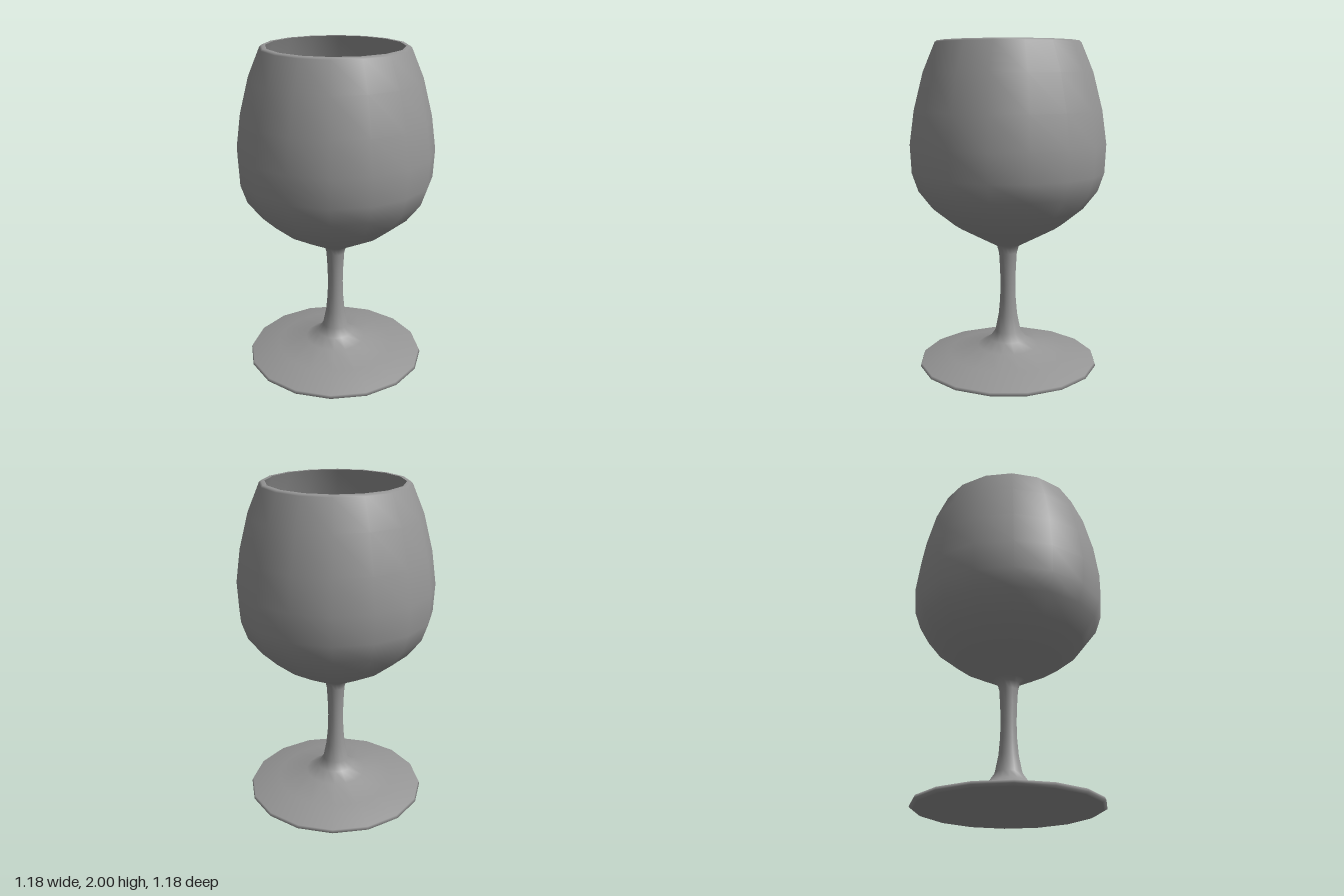
import * as THREE from 'three';

const SIDES = 16;
const material = new THREE.MeshStandardMaterial({ color: 0x969696 });

// Revolve a profile of [radius, height] pairs; bottom to top faces outward.
function turned(name, profile) {
  const points = profile.map(([r, y]) => new THREE.Vector2(r, y));
  const mesh = new THREE.Mesh(new THREE.LatheGeometry(points, SIDES), material);
  mesh.name = name;
  return mesh;
}

export function createModel() {
  const glass = new THREE.Group();
  glass.name = 'stemmedGlass';

  // Underside of the foot, slightly hollowed in the middle
  glass.add(turned('footUnderside', [[0, 0.02], [0.12, 0.004], [0.2, 0], [0.535, 0.008]]));

  // Rounded foot edge and sloping foot, flowing into the narrow stem
  glass.add(turned('footAndStem', [
    [0.535, 0.008], [0.555, 0.018], [0.548, 0.036], [0.37, 0.08], [0.19, 0.122], [0.115, 0.165],
    [0.08, 0.215], [0.059, 0.32], [0.05, 0.42], [0.047, 0.52], [0.05, 0.62], [0.056, 0.72],
    [0.068, 0.763], [0.1, 0.782],
  ]));

  // Outer wall of the bowl, narrowing toward the mouth and rolling over the rim
  glass.add(turned('bowlOuter', [
    [0.1, 0.782], [0.2, 0.835], [0.33, 0.905], [0.46, 1.01], [0.545, 1.12],
    [0.582, 1.23], [0.59, 1.4], [0.562, 1.6], [0.505, 1.82], [0.433, 1.99], [0.422, 2], [0.4, 2],
  ]));

  // Inner wall of the bowl, from the mouth down
  glass.add(turned('bowlInner', [
    [0.4, 2], [0.475, 1.82], [0.53, 1.6], [0.558, 1.4], [0.55, 1.24],
    [0.515, 1.135], [0.435, 1.035], [0.31, 0.935], [0.18, 0.865], [0, 0.81],
  ]));

  return glass;
}
